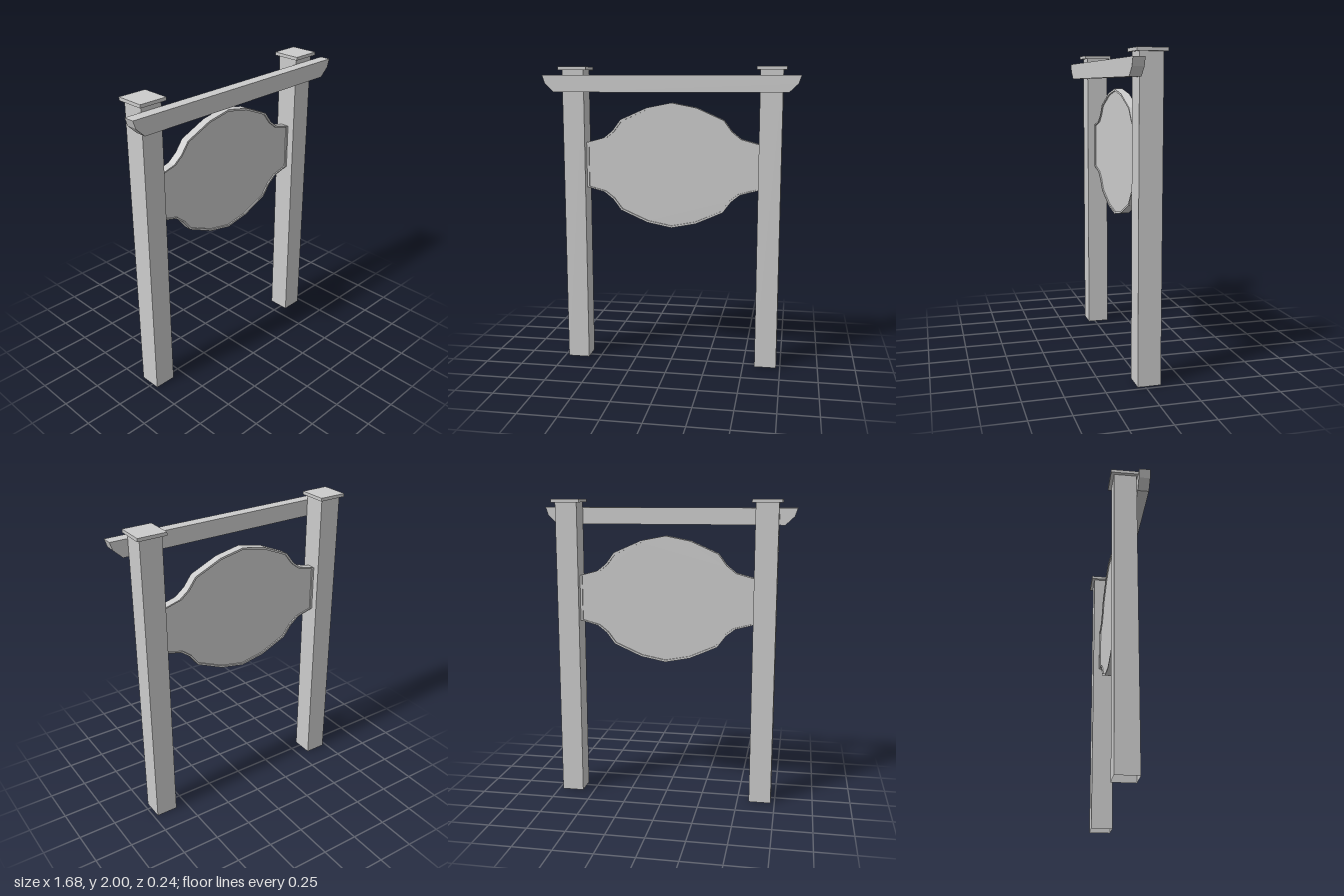
import * as THREE from 'three';

const grey = new THREE.MeshStandardMaterial({ color: 0xcccccc, side: THREE.DoubleSide });
grey.name = 'plain grey';

function part(parent, name, geometry, x = 0, y = 0, z = 0) {
  const mesh = new THREE.Mesh(geometry, grey);
  mesh.name = name;
  mesh.position.set(x, y, z);
  parent.add(mesh);
  return mesh;
}

const extrude = (shape, depth) =>
  new THREE.ExtrudeGeometry(shape, { depth, bevelEnabled: false });

// One quarter of the board outline, from the side to the top centre
const quarter = [[0.578, 0.151], [0.46, 0.183], [0.40, 0.231], [0.345, 0.305], [0.164, 0.385], [0, 0.417]];

// Mirror the quarter into a full counter-clockwise outline
function outline(sx, sy) {
  const q = quarter.map(([x, y]) => [x * sx, y * sy]);
  const top = [...q, ...q.slice(0, -1).reverse().map(([x, y]) => [-x, y])];
  const bottom = top.map(([x, y]) => [-x, -y]);
  return [...top, ...bottom].map(([x, y]) => new THREE.Vector2(x, y));
}

export function createModel() {
  const group = new THREE.Group();
  group.name = 'signFrame';
  const postZ = -0.025;

  // Hollow square posts, open at the foot, with flat caps
  for (const [side, sign] of [['left', 1], ['right', -1]]) {
    const h = 1.98, w = 0.145;
    const post = new THREE.CylinderGeometry(w / Math.SQRT2, w / Math.SQRT2, h, 4, 1, true)
      .rotateY(Math.PI / 4).toNonIndexed();
    post.computeVertexNormals();
    part(group, side + 'Post', post, sign * 0.651, h / 2, postZ);
    part(group, side + 'PostCap', new THREE.BoxGeometry(0.188, 0.021, 0.188), sign * 0.651, 1.9895, postZ);
  }

  // Crossbeam with cut-back ends, in front of the posts
  const beam = new THREE.Shape([
    [-0.761, 1.836], [0.761, 1.836], [0.82, 1.892], [0.838, 1.945],
    [-0.838, 1.945], [-0.82, 1.892],
  ].map(([x, y]) => new THREE.Vector2(x, y)));
  part(group, 'crossbeam', extrude(beam, 0.072), 0, 0, 0.047);

  // Sign board: raised rim around a panel recessed on both faces
  const rim = new THREE.Shape(outline(1, 1));
  rim.holes.push(new THREE.Path(outline(0.975, 0.968).reverse()));
  part(group, 'signRim', extrude(rim, 0.055), 0, 1.35, -0.055);
  part(group, 'signPanel', extrude(new THREE.Shape(outline(0.975, 0.968)), 0.037), 0, 1.35, -0.046);

  return group;
}
